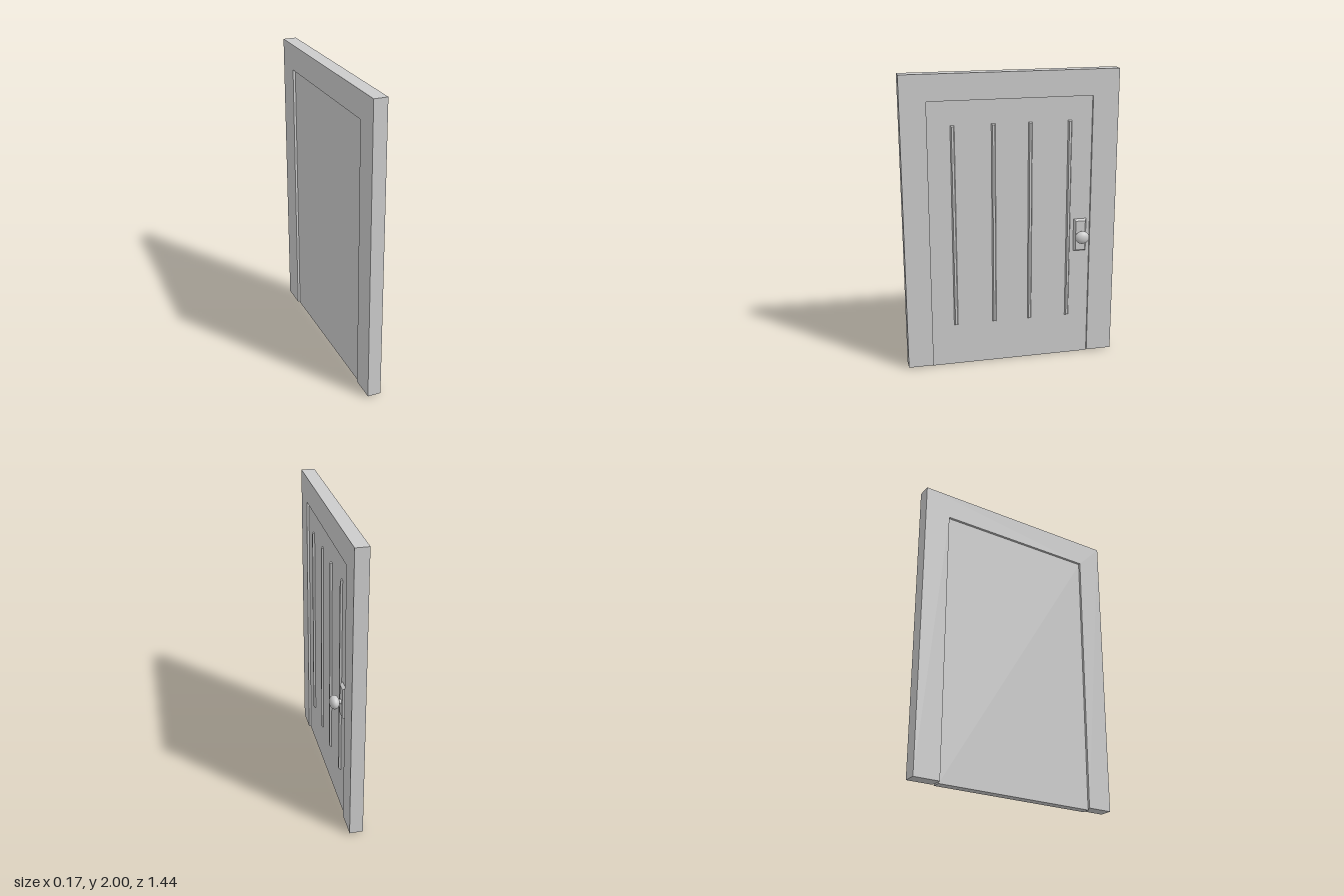
import * as THREE from 'three';

const material = new THREE.MeshStandardMaterial({ color: 0xcccccc });

function addPart(group, name, geometry, x = 0, y = 0, z = 0) {
  const mesh = new THREE.Mesh(geometry, material);
  mesh.name = name;
  mesh.position.set(x, y, z);
  group.add(mesh);
  return mesh;
}

// Box whose outward (+x) face is inset, giving sloped edges
function bevelledPlate(depth, height, width, inset) {
  const geometry = new THREE.BoxGeometry(depth, height, width);
  const p = geometry.attributes.position;
  for (let i = 0; i < p.count; i++) {
    if (p.getX(i) < 0) continue;
    p.setY(i, p.getY(i) - Math.sign(p.getY(i)) * inset);
    p.setZ(i, p.getZ(i) - Math.sign(p.getZ(i)) * inset);
  }
  geometry.computeVertexNormals();
  return geometry;
}

export function createModel() {
  const door = new THREE.Group();
  door.name = 'door';

  // Surround: an upside-down U, extruded through the wall thickness (shape x is -z)
  const outline = new THREE.Shape();
  [[-0.72, 0.01], [-0.55, 0.01], [-0.55, 1.828], [0.545, 1.828],
    [0.545, 0.01], [0.72, 0.01], [0.72, 2], [-0.72, 2]]
    .forEach(([u, v], i) => (i ? outline.lineTo(u, v) : outline.moveTo(u, v)));
  const frame = new THREE.ExtrudeGeometry(outline, { depth: 0.089, bevelEnabled: false });
  frame.rotateY(Math.PI / 2);
  addPart(door, 'frame', frame, -0.086);

  // Leaf, slightly recessed on both faces
  addPart(door, 'leaf', new THREE.BoxGeometry(0.058, 1.829, 1.1), -0.041, 0.9145, 0.005);

  // Raised vertical mouldings on the outer face
  for (const z of [0.386, 0.119, -0.127, -0.394]) {
    addPart(door, 'moulding', bevelledPlate(0.014, 1.38, 0.028, 0.007), -0.006, 0.98, z);
  }

  // Handle: back plate, neck and oval knob
  const handle = new THREE.Group();
  handle.name = 'handle';
  handle.position.set(0, 0.875, -0.477);
  door.add(handle);
  addPart(handle, 'backPlate', bevelledPlate(0.022, 0.23, 0.09, 0.012), -0.002);
  const neck = new THREE.CylinderGeometry(0.016, 0.016, 0.04, 24);
  neck.rotateZ(Math.PI / 2);
  addPart(handle, 'neck', neck, 0.018);
  const knob = new THREE.SphereGeometry(1, 32, 20);
  knob.rotateZ(Math.PI / 2);
  knob.scale(0.032, 0.044, 0.049);
  addPart(handle, 'knob', knob, 0.052);

  return door;
}
